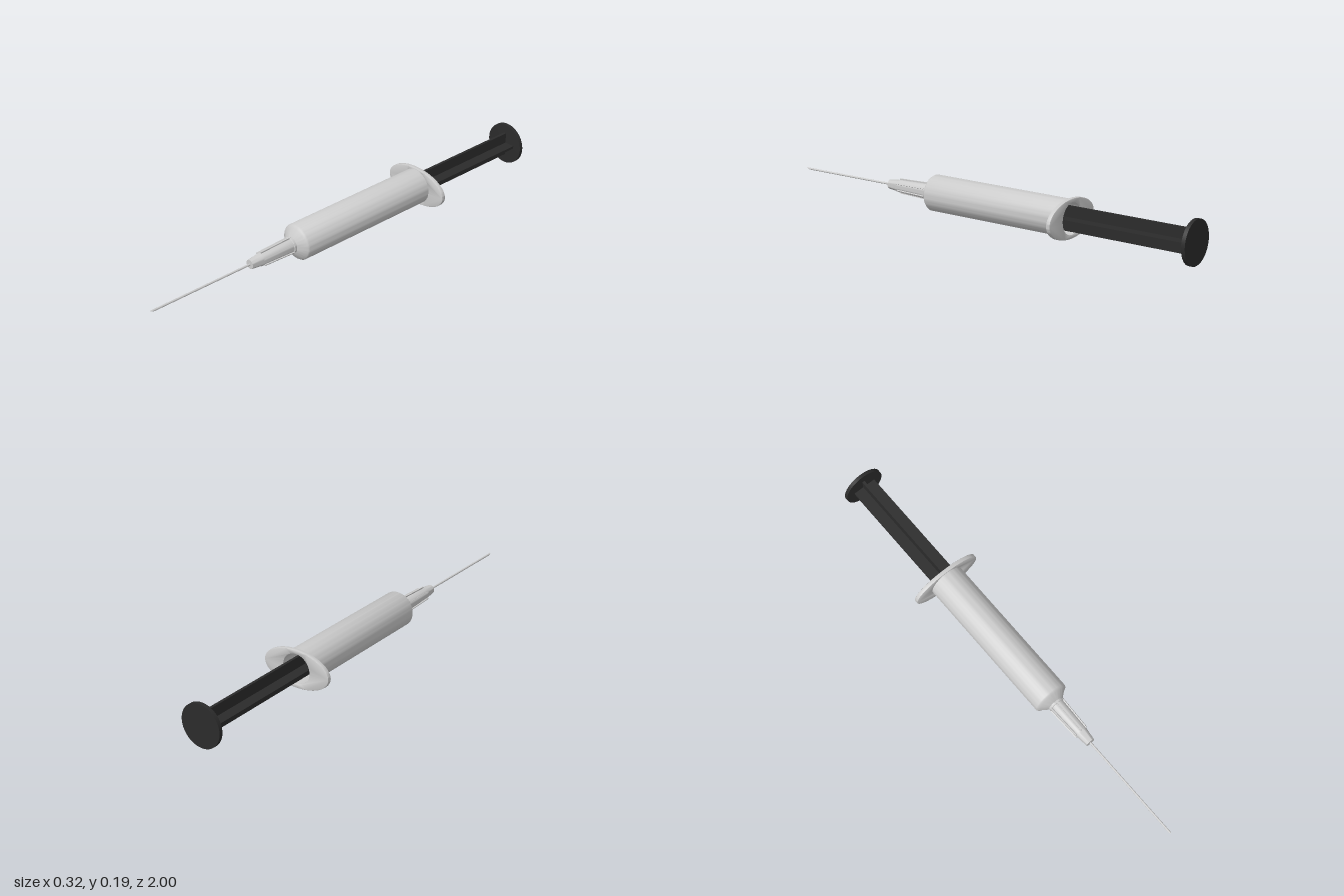
import * as THREE from 'three';
import { toCreasedNormals } from 'three/addons/utils/BufferGeometryUtils.js';

const AXIS_Y = 0.093;

export function createModel() {
  const model = new THREE.Group();
  model.name = 'syringe';
  const body = new THREE.Group();
  body.name = 'body';
  body.position.y = AXIS_Y;
  model.add(body);

  const grey = new THREE.MeshStandardMaterial({ color: 0xcccccc });
  const greyThin = new THREE.MeshStandardMaterial({ color: 0xcccccc, side: THREE.DoubleSide });
  const black = new THREE.MeshStandardMaterial({ color: 0x2b2b2b });

  const add = (name, geometry, material, parent = body) => {
    const mesh = new THREE.Mesh(geometry, material);
    mesh.name = name;
    parent.add(mesh);
    return mesh;
  };
  // Turned part along z from [radius, z] pairs
  const turned = (profile, segments = 48) => {
    const points = profile.map(([r, z]) => new THREE.Vector2(r, z));
    return toCreasedNormals(new THREE.LatheGeometry(points, segments).rotateX(Math.PI / 2), 0.6);
  };
  // Straight cylinder along z between two depths
  const rod = (r, z0, z1, segments = 48) =>
    new THREE.CylinderGeometry(r, r, z1 - z0, segments)
      .rotateX(Math.PI / 2).translate(0, 0, (z0 + z1) / 2);

  // Hollow barrel with a conical shoulder and nozzle
  add('barrel', turned([
    [0.066, -0.43], [0.078, -0.43], [0.078, 0.26], [0.074, 0.266], [0.064, 0.271],
    [0.034, 0.295], [0.024, 0.297], [0.022, 0.34], [0.012, 0.34], [0.012, 0.285],
    [0.066, 0.255], [0.066, -0.43],
  ], 64), grey);

  // Oval finger flange, pierced for the plunger
  const oval = new THREE.Shape();
  oval.absellipse(0, 0, 0.16, 0.083, 0, Math.PI * 2);
  const hole = new THREE.Path();
  hole.absarc(0, 0, 0.066, 0, Math.PI * 2, true);
  oval.holes.push(hole);
  const flange = new THREE.ExtrudeGeometry(oval, {
    depth: 0.012, bevelEnabled: true, bevelThickness: 0.003, bevelSize: 0.002,
    bevelOffset: -0.002, bevelSegments: 2, curveSegments: 40,
  });
  add('fingerFlange', toCreasedNormals(flange.translate(0, 0, -0.432), 0.6), grey);

  // Plunger: crossed ribs, thumb disc and stopper
  const plunger = new THREE.Group();
  plunger.name = 'plunger';
  body.add(plunger);
  const ribLength = 1.17;
  for (const [name, w, h] of [['plungerRibFlat', 0.106, 0.012], ['plungerRibUpright', 0.012, 0.106]]) {
    add(name, new THREE.BoxGeometry(w, h, ribLength), black, plunger).position.z = -0.985 + ribLength / 2;
  }
  add('thumbDisc', rod(0.093, -1, -0.984, 64), black, plunger);
  add('stopper', rod(0.065, 0.18, 0.24), black, plunger);

  // Needle hub with a stepped tip
  const hub = new THREE.Group();
  hub.name = 'needleHub';
  body.add(hub);
  add('hubBody', turned([
    [0.026, 0.293], [0.037, 0.293], [0.037, 0.302], [0.033, 0.304], [0.028, 0.45],
    [0.026, 0.458], [0.02, 0.51], [0.004, 0.51],
  ], 32), greyThin, hub);

  // Grip ribs around the hub, leaning in with its taper
  for (let i = 0; i < 6; i++) {
    const spoke = new THREE.Group();
    spoke.name = 'gripRib' + (i + 1);
    spoke.rotation.z = (i * Math.PI) / 3;
    hub.add(spoke);
    const rib = add('rib', new THREE.BoxGeometry(0.006, 0.008, 0.155), grey, spoke);
    rib.position.set(0, 0.0315, 0.375);
    rib.rotation.x = 0.034;
  }

  // Fine hollow needle with a slanted tip
  const needle = new THREE.CylinderGeometry(0.0045, 0.0045, 0.52, 16, 1, true).rotateX(Math.PI / 2);
  const p = needle.attributes.position;
  for (let i = 0; i < p.count; i++) {
    if (p.getZ(i) > 0) p.setZ(i, 0.26 - (0.0045 - p.getY(i)) * 2.5);
  }
  add('needle', needle.translate(0, 0, 0.74), greyThin);

  return model;
}
